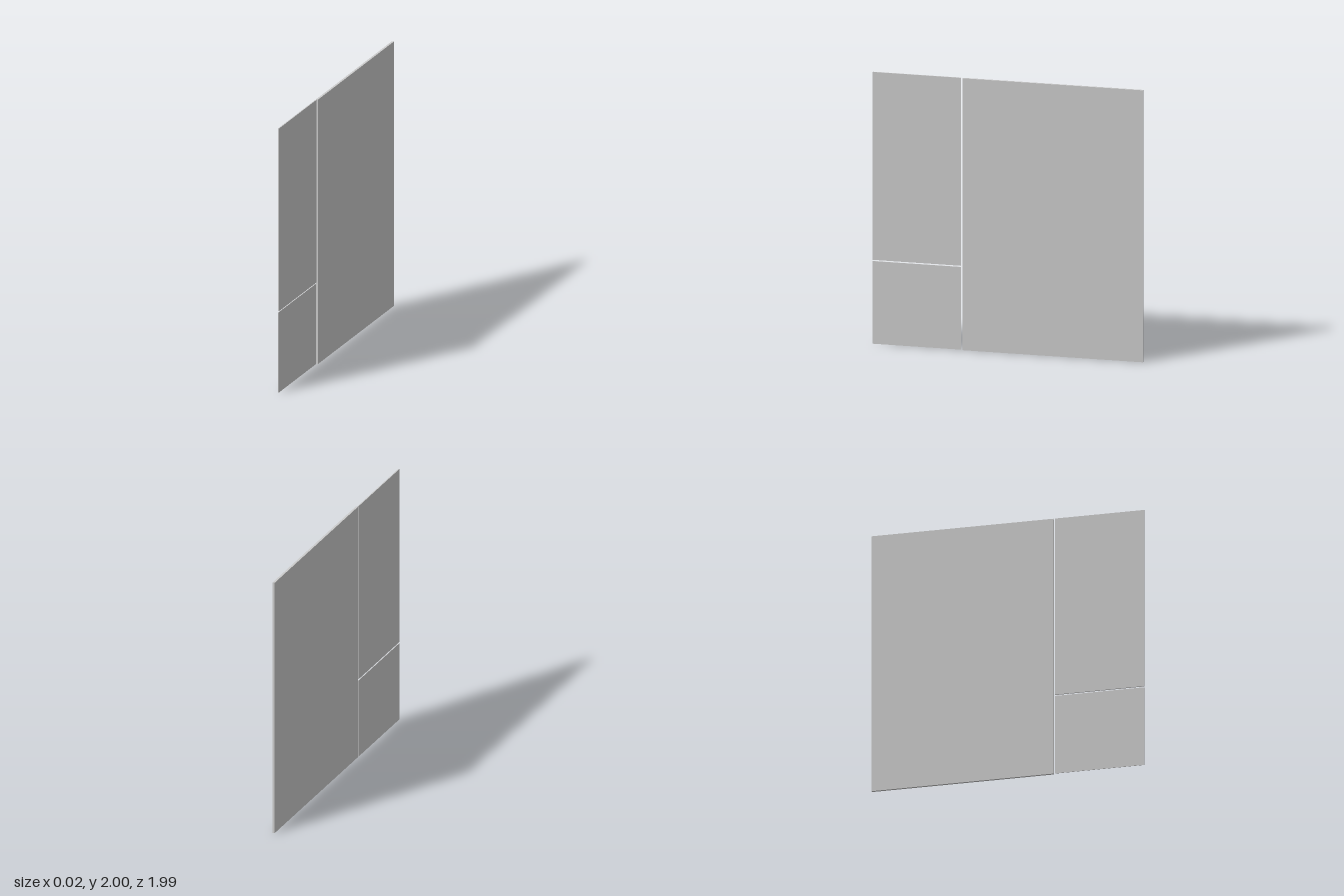
import * as THREE from 'three';

const material = new THREE.MeshStandardMaterial({ color: 0xcccccc });
const BACK = -0.008; // shared rear plane of all panels

// Upright slab given by its thickness in x and its extents in y and z
function panel(name, thickness, y0, y1, z0, z1) {
  const mesh = new THREE.Mesh(new THREE.BoxGeometry(thickness, y1 - y0, z1 - z0), material);
  mesh.name = name;
  mesh.position.set(BACK + thickness / 2, (y0 + y1) / 2, (z0 + z1) / 2);
  return mesh;
}

export function createModel() {
  const group = new THREE.Group();
  group.name = 'wallPanels';
  // Thick main panel, with two thinner ones beside it, split by narrow gaps
  group.add(
    panel('mainPanel', 0.016, 0, 2, -0.995, 0.332),
    panel('upperSidePanel', 0.008, 0.618, 2, 0.345, 0.995),
    panel('lowerSidePanel', 0.004, 0, 0.608, 0.345, 0.995)
  );
  return group;
}
